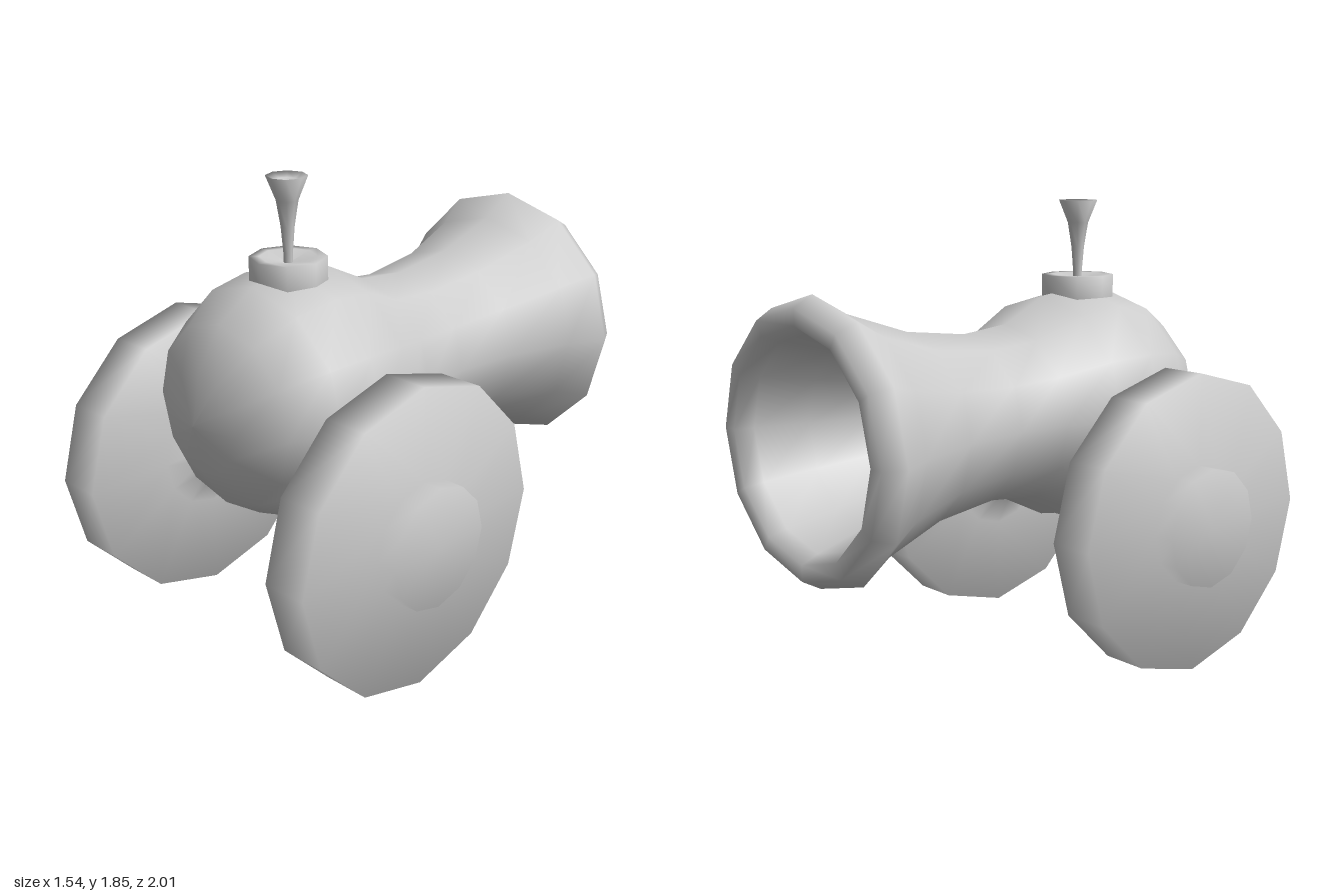
import * as THREE from 'three';

const material = new THREE.MeshStandardMaterial({ color: 0xcccccc });

// Turned part: profile is a list of [radius, height] running bottom to top
function turned(name, profile, sides) {
  const points = profile.map(([r, h]) => new THREE.Vector2(r, h));
  const mesh = new THREE.Mesh(new THREE.LatheGeometry(points, sides), material);
  mesh.name = name;
  return mesh;
}

export function createModel() {
  const group = new THREE.Group();
  group.name = 'cannon';

  // Barrel: round breech, narrow waist, flared muzzle and hollow bore
  const barrel = turned('barrel', [
    [0, -0.89], [0.19, -0.855], [0.355, -0.745], [0.46, -0.58], [0.49, -0.4],
    [0.46, -0.2], [0.363, 0], [0.341, 0.22], [0.375, 0.5], [0.465, 0.775],
    [0.547, 0.92], [0.503, 1], [0.44, 1], [0.41, 0.93],
    [0.35, 0.72], [0.29, 0.48], [0.25, 0.2], [0, 0.15],
  ], 12);
  barrel.geometry.rotateX(-Math.PI / 2);
  barrel.position.y = 1.008;
  group.add(barrel);

  // Wheels, each with an outer hub and an inner flare to the axle
  const wheelProfile = [
    [0.11, 0.43], [0.235, 0.5], [0.605, 0.5], [0.605, 0.685],
    [0.24, 0.685], [0.24, 0.768], [0, 0.768],
  ];
  for (const side of [1, -1]) {
    const profile = wheelProfile.map(([r, h]) => [r, h * side]);
    if (side < 0) profile.reverse();
    const wheel = turned(side > 0 ? 'leftWheel' : 'rightWheel', profile, 12);
    wheel.geometry.rotateZ(-Math.PI / 2);
    wheel.position.set(0, 0.605, 0.4);
    group.add(wheel);
  }

  // Axle
  const axle = turned('axle', [[0.11, -0.43], [0.11, 0.43]], 12);
  axle.geometry.rotateZ(-Math.PI / 2);
  axle.position.set(0, 0.605, 0.4);
  group.add(axle);

  // Fuse collar on top of the breech
  const collar = turned('fuseCollar', [
    [0.148, 1.45], [0.148, 1.547], [0.11, 1.547], [0, 1.52],
  ], 8);
  collar.position.z = 0.4;
  group.add(collar);

  // Flared fuse
  const fuse = turned('fuse', [
    [0.018, 1.5], [0.018, 1.56], [0.026, 1.66], [0.042, 1.76],
    [0.079, 1.852], [0.04, 1.835], [0, 1.83],
  ], 8);
  fuse.position.z = 0.4;
  group.add(fuse);

  return group;
}
